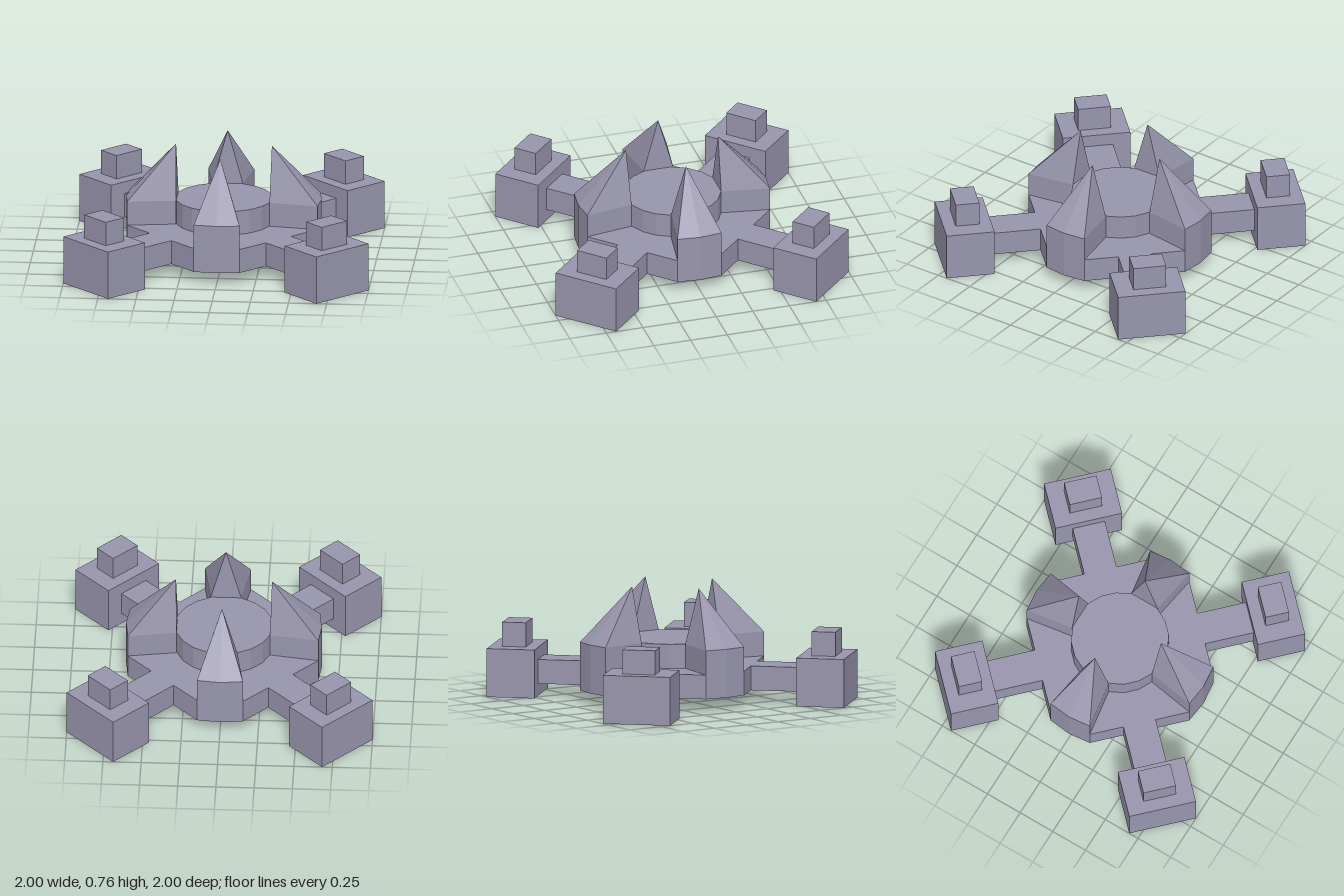
import * as THREE from 'three';
import { ConvexGeometry } from 'three/addons/geometries/ConvexGeometry.js';

const material = new THREE.MeshStandardMaterial({ color: 0x9895ad, flatShading: true });

function part(name, geometry, parent) {
  const mesh = new THREE.Mesh(geometry, material);
  mesh.name = name;
  parent.add(mesh);
  return mesh;
}

function box(name, w, h, d, y, z, parent) {
  part(name, new THREE.BoxGeometry(w, h, d), parent).position.set(0, y + h / 2, z);
}

export function createModel() {
  const model = new THREE.Group();
  model.name = 'fourArmedStation';

  // Base plate: four slightly bowed sides joined by 45 degree chamfers
  const outline = [];
  for (let i = 0; i < 4; i++) {
    for (const [x, y] of [[0.623, -0.15], [0.64, 0], [0.623, 0.15]]) {
      outline.push(new THREE.Vector2(x, y).rotateAround(new THREE.Vector2(), i * Math.PI / 2));
    }
  }
  const base = new THREE.ExtrudeGeometry(new THREE.Shape(outline), { depth: 0.16, bevelEnabled: false });
  base.rotateX(-Math.PI / 2);
  part('basePlate', base, model).position.y = 0.08;

  // Raised round hub
  part('hub', new THREE.CylinderGeometry(0.32, 0.32, 0.16, 20), model).position.y = 0.32;

  // Horn: tapered block on the base, rising to a point above the hub's rim
  const footprint = [[-0.15, 0.623], [0, 0.64], [0.15, 0.623], [0.1, 0.306], [-0.1, 0.306]];
  const points = [new THREE.Vector3(0, 0.76, 0.314)];
  for (const [x, z] of footprint) {
    points.push(new THREE.Vector3(x, 0.24, z), new THREE.Vector3(x, 0.4, z));
  }
  const hornGeometry = new ConvexGeometry(points);

  for (let i = 0; i < 4; i++) {
    part('horn', hornGeometry, model).rotation.y = i * Math.PI / 2;

    // Diagonal arm carrying a pod with a small block on top
    const arm = new THREE.Group();
    arm.name = 'armAssembly';
    arm.rotation.y = (i + 0.5) * Math.PI / 2;
    box('arm', 0.217, 0.16, 0.34, 0.08, 0.71, arm);
    box('pod', 0.448, 0.32, 0.318, 0, 1.031, arm);
    box('podTop', 0.217, 0.16, 0.157, 0.32, 1.031, arm);
    model.add(arm);
  }
  return model;
}
